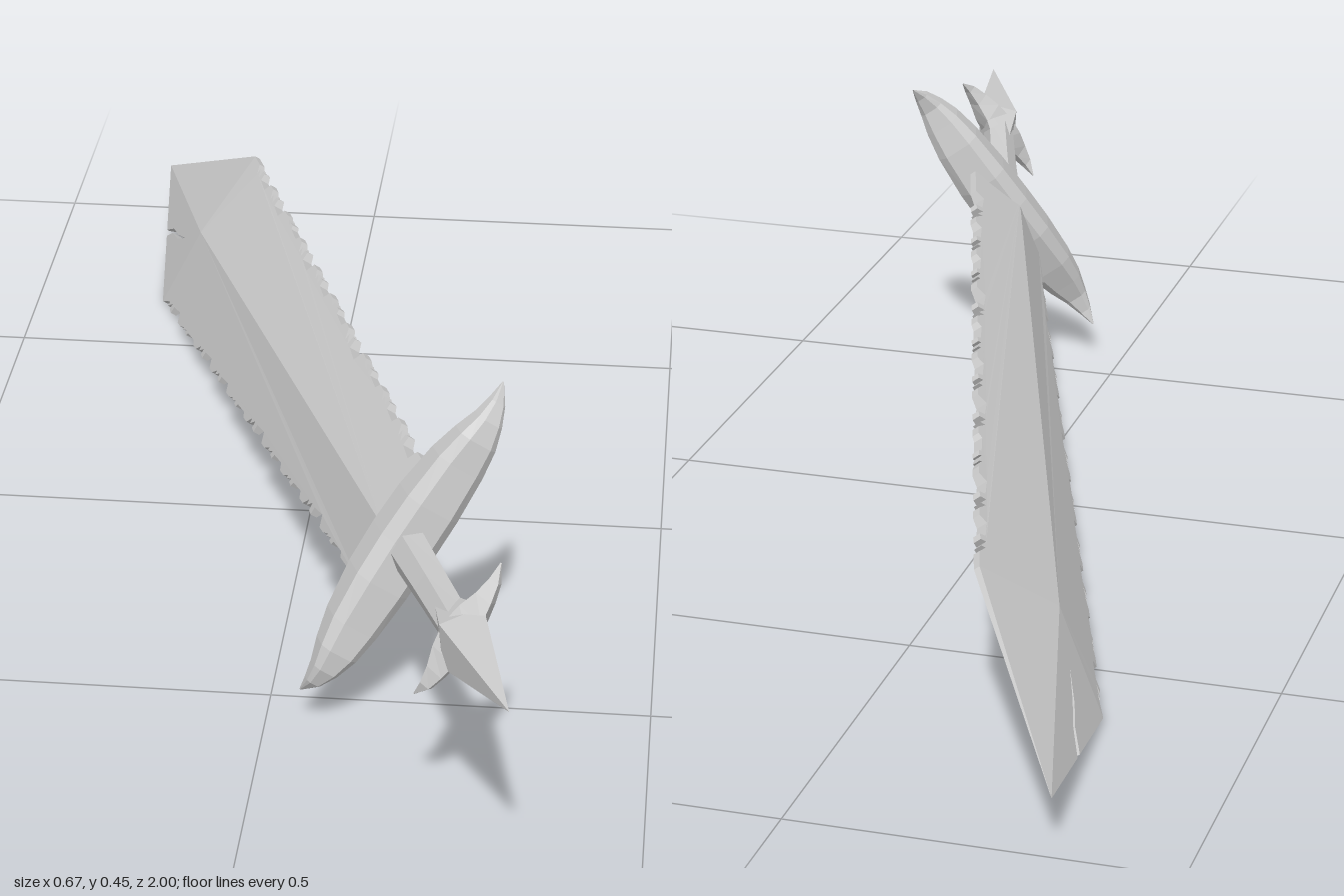
import * as THREE from 'three';
import { mergeGeometries } from 'three/addons/utils/BufferGeometryUtils.js';

// Sword frame: x = blade width, y = length (tip at -y, pommel at +y), z = thickness.
const TIP = -1.06, SHOULDER = -0.72, ROOT = 0.53, RIDGE = -0.66;
const mat = new THREE.MeshStandardMaterial({ color: 0xcccccc, flatShading: true, side: THREE.DoubleSide });
const lerp = THREE.MathUtils.lerp;

// Half width of the blade at length l
const halfWidth = l => l > SHOULDER
  ? lerp(0.137, 0.085, (l - SHOULDER) / (ROOT - SHOULDER))
  : 0.137 * (l - TIP) / (SHOULDER - TIP);

// Half thickness of the blade at (w, l): a central ridge falling to blunt edges
function halfThick(w, l) {
  const fade = Math.min(1, Math.max(0, (l - TIP) / (RIDGE - TIP)));
  const ridge = l > RIDGE ? lerp(0.034, 0.028, (l - RIDGE) / (ROOT - RIDGE)) : 0.034 * fade;
  const edge = 0.005 * fade, W = halfWidth(l);
  return W < 1e-4 ? 0 : edge + (ridge - edge) * Math.max(0, 1 - Math.abs(w) / W);
}

function bufferFrom(positions) {
  const g = new THREE.BufferGeometry();
  g.setAttribute('position', new THREE.Float32BufferAttribute(positions, 3));
  g.computeVertexNormals();
  return g;
}

// Jagged edge from the root to the shoulder: groups of one wide notch and two small barbs
function serratedEdge(side) {
  const pts = [[halfWidth(ROOT), ROOT]];
  const count = 10, period = 0.114, start = side > 0 ? 0.44 : 0.42;
  const tooth = [[0, 0], [0.006, 0.014], [0.044, 0.011], [0.05, 0],
    [0.062, 0.002], [0.058, 0.012], [0.078, 0.003], [0.075, 0.011], [0.095, 0]];
  for (let i = 0; i < count; i++) {
    const depth = 0.8 + 0.35 * Math.sin(i * 2.3 + side);
    for (const [dl, dw] of tooth) {
      const l = start - i * period - dl;
      if (l > SHOULDER + 0.02) pts.push([halfWidth(l) - dw * depth, l]);
    }
  }
  return pts;
}

// One face pair of a flat region, bulged by the thickness rule
function bulgedFaces(points, side) {
  const shape = new THREE.Shape(points.map(([w, l]) => new THREE.Vector2(w * side, l)));
  const flat = new THREE.ShapeGeometry(shape).toNonIndexed().getAttribute('position');
  const out = [];
  for (let i = 0; i < flat.count; i += 3) {
    const v = [0, 1, 2].map(k => {
      const x = flat.getX(i + k), y = flat.getY(i + k);
      return [x, y, halfThick(x, y)];
    });
    v.forEach(p => out.push(...p));
    [v[0], v[2], v[1]].forEach(([x, y, z]) => out.push(x, y, -z));
  }
  return out;
}

// Thin wall joining the two faces along the cutting edge
function edgeWall(points, side) {
  const out = [];
  for (let i = 0; i + 1 < points.length; i++) {
    const [a, b] = side > 0 ? [points[i + 1], points[i]] : [points[i], points[i + 1]];
    const ta = halfThick(...a), tb = halfThick(...b), ax = a[0] * side, bx = b[0] * side;
    out.push(ax, a[1], -ta, bx, b[1], -tb, bx, b[1], tb);
    out.push(ax, a[1], -ta, bx, b[1], tb, ax, a[1], ta);
  }
  return out;
}

function bladeGeometry() {
  const corner = [halfWidth(SHOULDER), SHOULDER], point = [0, TIP], ridge = [0, RIDGE];
  // Curved crack running in from one side of the point
  const crack = [[0.0725, -0.88], [0.057, -0.845], [0.053, -0.8], [0.036, -0.745],
    [0.047, -0.8], [0.051, -0.85], [0.0665, -0.895]];
  const all = [];
  for (const side of [1, -1]) {
    const edge = [...serratedEdge(side), corner];
    const nose = [corner, ...(side < 0 ? crack : []), point];
    all.push(...bulgedFaces([[0, ROOT], ...edge, ridge], side));
    all.push(...bulgedFaces([...nose, ridge], side));
    all.push(...edgeWall(edge, side), ...edgeWall(nose, side));
  }
  return bufferFrom(all);
}

// Loft of a unit section along +y. Station: [position, x offset, half x, half z]
function loft(stations, section) {
  const out = [], n = section.length;
  const rings = stations.map(([s, off, a, b]) => section.map(([u, v]) => [off + u * a, s, v * b]));
  for (let i = 0; i + 1 < rings.length; i++) {
    for (let k = 0; k < n; k++) {
      const m = (k + 1) % n;
      const a = rings[i][k], b = rings[i][m], c = rings[i + 1][m], d = rings[i + 1][k];
      out.push(...a, ...d, ...c, ...a, ...c, ...b);
    }
  }
  return bufferFrom(out);
}

const DIAMOND = [[1, 0], [0, 1], [-1, 0], [0, -1]];
const HEX = [[1, 0], [0.45, 1], [-0.45, 1], [-1, 0], [-0.45, -1], [0.45, -1]];
const BEVELLED = [[1, 0.6], [0.6, 1], [-0.6, 1], [-1, 0.6], [-1, -0.6], [-0.6, -1], [0.6, -1], [1, -0.6]];

// A curved arm and its twin across the sword; stations run outward along the width
function armPair(stations, section) {
  const both = [1, -1].map(side => {
    const g = loft(side > 0 ? stations : stations.map(([s, ...r]) => [-s, ...r]).reverse(), section);
    // swap so that the loft axis follows the width and its offset follows the length
    return g.applyMatrix4(new THREE.Matrix4().makeBasis(
      new THREE.Vector3(0, 1, 0), new THREE.Vector3(1, 0, 0), new THREE.Vector3(0, 0, -1)));
  });
  return mergeGeometries(both);
}

export function createModel() {
  const model = new THREE.Group();
  model.name = 'sword';
  const sword = new THREE.Group();
  sword.name = 'swordBody';
  model.add(sword);
  const add = (name, geometry) => {
    const mesh = new THREE.Mesh(geometry, mat);
    mesh.name = name;
    sword.add(mesh);
  };

  add('blade', bladeGeometry());

  // Crossguard with tips flicking back towards the blade
  add('crossguard', armPair([
    [0, 0.545, 0.038, 0.04], [0.06, 0.547, 0.037, 0.039], [0.125, 0.553, 0.03, 0.034],
    [0.165, 0.559, 0.024, 0.027], [0.195, 0.56, 0.017, 0.018], [0.22, 0.552, 0.011, 0.01],
    [0.242, 0.534, 0.001, 0.001]], BEVELLED));

  add('grip', loft([[0.54, 0, 0.031, 0.022], [0.7, 0, 0.027, 0.02], [0.82, 0, 0.025, 0.02]], HEX));

  // Spiked pommel with two curved barbs
  add('pommelSpike', loft([[0.77, 0, 0.022, 0.018], [0.85, 0, 0.046, 0.036], [1.062, 0, 0.0005, 0.0005]], DIAMOND));
  add('pommelBarbs', armPair([
    [0, 0.835, 0.05, 0.026], [0.03, 0.838, 0.036, 0.022], [0.055, 0.842, 0.022, 0.015],
    [0.078, 0.839, 0.012, 0.009], [0.098, 0.824, 0.001, 0.001]], DIAMOND));

  // Lay the sword in its tilted pose
  const length = new THREE.Vector3(0.675, 0.232, 2).normalize();
  const width = new THREE.Vector3(0.51, 0.817, -0.267);
  width.addScaledVector(length, -width.dot(length)).normalize();
  const depth = new THREE.Vector3().crossVectors(width, length);
  sword.quaternion.setFromRotationMatrix(new THREE.Matrix4().makeBasis(width, length, depth));
  sword.position.set(0, 0.192, 0);
  return model;
}
